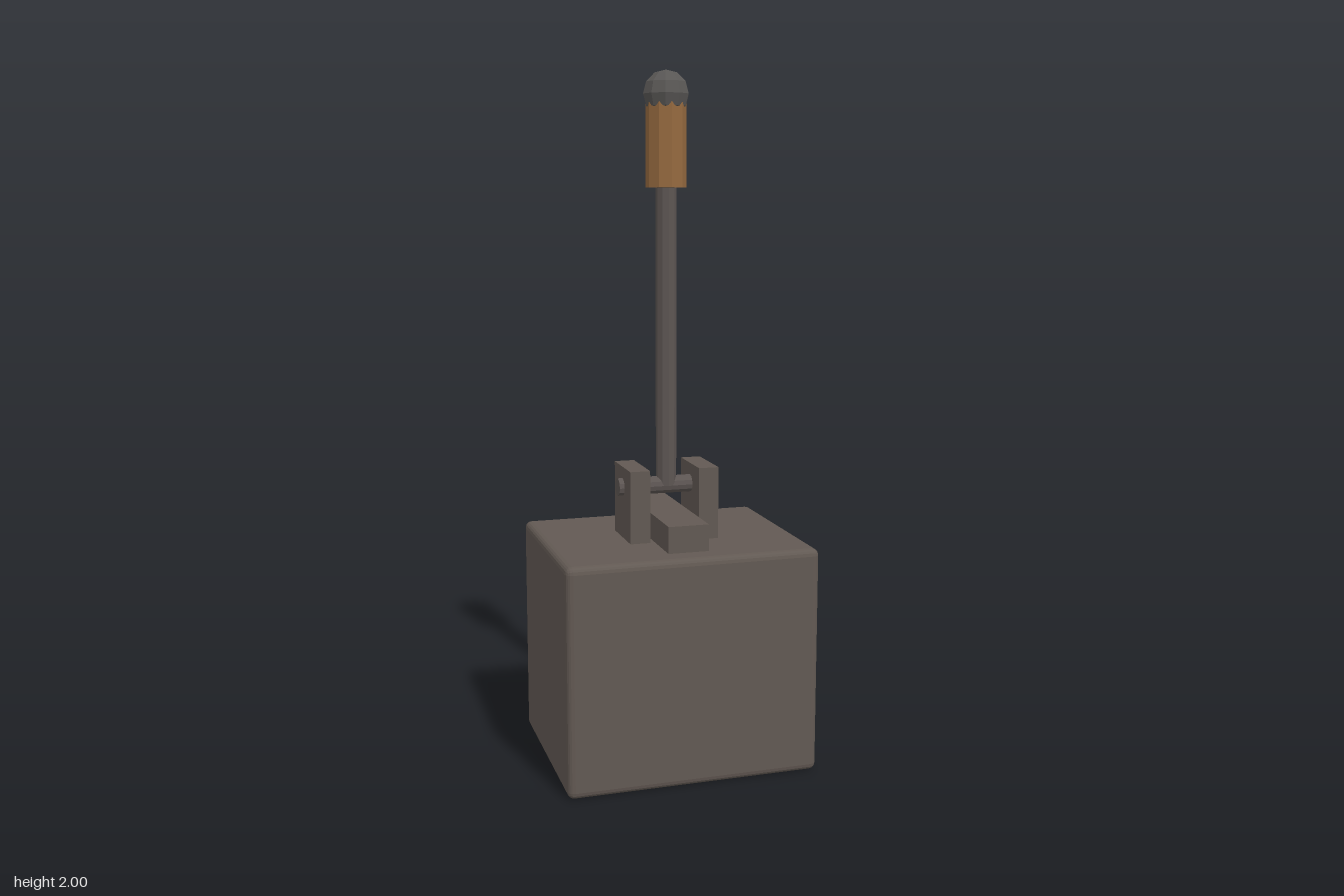
import * as THREE from 'three';
import { RoundedBoxGeometry } from 'three/addons/geometries/RoundedBoxGeometry.js';

export function createModel() {
  const group = new THREE.Group();
  group.name = 'lever';

  const material = (name, color) => {
    const m = new THREE.MeshStandardMaterial({ color, flatShading: true });
    m.name = name;
    return m;
  };
  const casing = material('casing metal', 0x625953);
  const steel = material('dark steel', 0x5c5552);
  const knobGrey = material('knob grey', 0x595755);
  const wood = material('grip wood', 0x94693f);

  const add = (name, geometry, mat, x, y, z = 0) => {
    const mesh = new THREE.Mesh(geometry, mat);
    mesh.name = name;
    mesh.position.set(x, y, z);
    group.add(mesh);
    return mesh;
  };

  // Base block with softened edges
  add('base', new RoundedBoxGeometry(0.736, 0.66, 0.59, 2, 0.02), casing, 0, 0.334);

  // Raised strip running front to back
  add('guideStrip', new THREE.BoxGeometry(0.118, 0.09, 0.444), casing, 0, 0.696);

  // Two upright brackets carrying the pivot pin
  for (const side of [-1, 1]) {
    add(side > 0 ? 'leftBracket' : 'rightBracket',
      new THREE.BoxGeometry(0.059, 0.224, 0.176), casing, side * 0.103, 0.763);
  }
  const pin = add('pivotPin', new THREE.CylinderGeometry(0.026, 0.026, 0.294, 12), steel, 0, 0.815);
  pin.rotation.z = Math.PI / 2;

  // Shaft, grip and end knob
  add('shaft', new THREE.CylinderGeometry(0.03, 0.03, 0.89, 10), steel, 0, 1.26);
  add('grip', new THREE.CylinderGeometry(0.058, 0.058, 0.235, 10), wood, 0, 1.792);
  add('knob', new THREE.SphereGeometry(0.067, 10, 6), knobGrey, 0, 1.933);

  return group;
}
